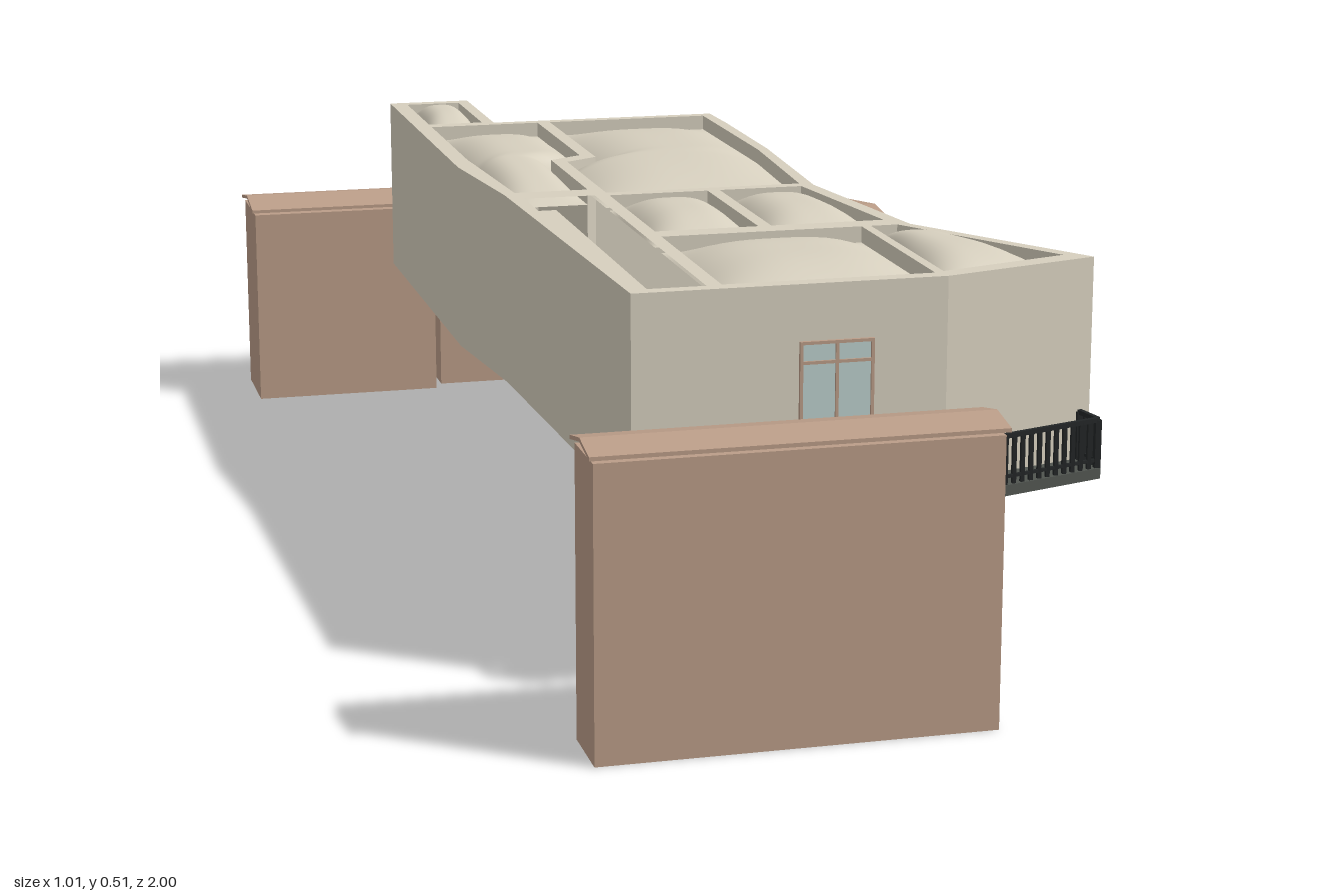
import * as THREE from 'three';
import { mergeGeometries } from 'three/addons/utils/BufferGeometryUtils.js';

const mat = (name, color, side = THREE.FrontSide) => {
  const m = new THREE.MeshStandardMaterial({ color, side });
  m.name = name;
  return m;
};

export function createModel() {
  const group = new THREE.Group();
  const wall = mat('pale plaster', 0xd6cfbe);
  const brown = mat('brown clay', 0xbb9d88);
  const glass = mat('pale glass', 0xbcd0cd);
  const slabGrey = mat('dark grey slab', 0x50544f);
  const black = mat('black iron', 0x222526);

  const add = (name, geo, material) => {
    const mesh = new THREE.Mesh(geo, material);
    mesh.name = name;
    group.add(mesh);
    return mesh;
  };
  // box given by its limits
  const box = (x0, x1, y0, y1, z0, z1) =>
    new THREE.BoxGeometry(x1 - x0, y1 - y0, z1 - z0)
      .translate((x0 + x1) / 2, (y0 + y1) / 2, (z0 + z1) / 2);
  // flat plan of [x, z] points raised from y0 to y1
  const toV2 = (pts) => pts.map(([x, z]) => new THREE.Vector2(x, -z));
  const slab = (pts, y0, y1, holes = []) => {
    const shape = new THREE.Shape(toV2(pts));
    shape.holes = holes.map((h) => new THREE.Path(toV2(h)));
    return new THREE.ExtrudeGeometry(shape, { depth: y1 - y0, bevelEnabled: false })
      .rotateX(-Math.PI / 2).translate(0, y0, 0);
  };
  // bar between two points
  const bar = (a, b, t) => {
    const A = new THREE.Vector3(...a), B = new THREE.Vector3(...b);
    const o = new THREE.Object3D();
    o.position.copy(A).add(B).multiplyScalar(0.5);
    o.lookAt(B);
    o.updateMatrix();
    return new THREE.BoxGeometry(t, t, A.distanceTo(B)).applyMatrix4(o.matrix);
  };
  // railing with uprights along a plan path
  const railing = (name, path, y0, y1) => {
    const parts = [];
    for (let i = 0; i + 1 < path.length; i++) {
      const [ax, az] = path[i], [bx, bz] = path[i + 1];
      parts.push(bar([ax, y1, az], [bx, y1, bz], 0.006));
      parts.push(bar([ax, y0 + 0.01, az], [bx, y0 + 0.01, bz], 0.004));
      const n = Math.max(1, Math.round(Math.hypot(bx - ax, bz - az) / 0.0135));
      for (let k = 0; k <= n; k++) {
        const x = ax + ((bx - ax) * k) / n, z = az + ((bz - az) * k) / n;
        const t = k === 0 || k === n ? 0.004 : 0.0026;
        parts.push(box(x - t, x + t, y0, y1, z - t, z + t));
      }
    }
    add(name, mergeGeometries(parts), black);
  };

  // rooms: west and east edges, each running from back to front
  const rooms = [
    { l: [[-0.26, -0.71], [-0.26, -0.51]], r: [[-0.175, -0.71], [-0.175, -0.51]] },
    { l: [[-0.26, -0.485], [-0.26, -0.185], [-0.258, -0.155], [-0.245, 0.085]],
      r: [[-0.09, -0.485], [-0.09, -0.185], [-0.14, -0.155], [-0.14, 0.085]] },
    { l: [[-0.07, -0.485], [-0.07, -0.165], [-0.12, -0.135], [-0.12, 0.115]],
      r: [[0.182, -0.485], [0.182, -0.165], [0.18, -0.135], [0.163, 0.115]] },
    { l: [[-0.12, 0.135], [-0.12, 0.395]], r: [[0.022, 0.135], [0.022, 0.395]] },
    { l: [[0.04, 0.135], [0.04, 0.395]], r: [[0.16, 0.135], [0.197, 0.395]] },
    { l: [[-0.12, 0.43], [-0.12, 0.728]], r: [[0.155, 0.43], [0.155, 0.728]] },
    { l: [[0.168, 0.43], [0.168, 0.722]], r: [[0.205, 0.43], [0.348, 0.668]] },
  ];
  const outline = (room) => [...room.l, ...[...room.r].reverse()];
  const stairwell = [[-0.24, 0.13], [-0.14, 0.13], [-0.14, 0.73], [-0.215, 0.73], [-0.215, 0.22], [-0.24, 0.22]];

  // walls of the raised building
  const plan = [
    [-0.285, -0.73], [-0.157, -0.73], [-0.157, -0.503], [0.198, -0.503], [0.2, -0.41], [0.198, -0.17],
    [0.18, 0.13], [0.223, 0.43], [0.382, 0.688], [0.165, 0.75], [-0.24, 0.75], [-0.262, 0.1], [-0.285, -0.13],
  ];
  add('walls', slab(plan, 0.235, 0.504, [...rooms.map(outline), stairwell]), wall);

  // domed roof panels and floors
  const pointOn = (line, t) => {
    const f = t * (line.length - 1), i = Math.min(Math.floor(f), line.length - 2), k = f - i;
    return [0, 1].map((c) => line[i][c] * (1 - k) + line[i + 1][c] * k);
  };
  const along = (room, v) => { // even steps by depth for stepped edges
    if (room.l.length === 2) return v;
    const z0 = room.l[0][1], z = z0 + v * (room.l.at(-1)[1] - z0);
    let i = 0;
    while (i < room.l.length - 2 && z > room.l[i + 1][1]) i++;
    return (i + (z - room.l[i][1]) / (room.l[i + 1][1] - room.l[i][1])) / (room.l.length - 1);
  };
  const dome = (t) => 1 - Math.abs(2 * t - 1) ** 3;
  rooms.forEach((room) => {
    const geo = new THREE.PlaneGeometry(1, 1, 16, 36).rotateX(-Math.PI / 2);
    const p = geo.attributes.position;
    for (let i = 0; i < p.count; i++) {
      const u = p.getX(i) + 0.5, v = p.getZ(i) + 0.5, s = Math.min(1, Math.max(0, along(room, v)));
      const a = pointOn(room.l, s), b = pointOn(room.r, s);
      p.setXYZ(i, a[0] + (b[0] - a[0]) * u, 0.482 + 0.032 * dome(u) * dome(v), a[1] + (b[1] - a[1]) * u);
    }
    geo.computeVertexNormals();
    add('domedRoofPanel', geo, wall);

    const pts = outline(room);
    const cx = pts.reduce((s, q) => s + q[0], 0) / pts.length, cz = pts.reduce((s, q) => s + q[1], 0) / pts.length;
    const wide = pts.map(([x, z]) => [x + Math.sign(x - cx) * 0.007, z + Math.sign(z - cz) * 0.007]);
    add('roomFloor', slab(wide, 0.228, 0.238), brown);
  });

  // landing and open stair
  add('landing', slab([[-0.24, 0.13], [-0.14, 0.13], [-0.14, 0.255], [-0.215, 0.255], [-0.215, 0.22], [-0.24, 0.22]], 0.229, 0.238), brown);
  const steps = 23, treads = [];
  for (let i = 0; i < steps; i++) {
    const z = 0.28 + (i * 0.385) / (steps - 1), y = 0.228 - (i * 0.22) / (steps - 1);
    treads.push(box(-0.214, -0.141, y - 0.006, y + 0.004, z - 0.01, z + 0.01));
  }
  add('stairTreads', mergeGeometries(treads), brown);

  // front balcony
  add('balconySlab', slab([[-0.205, 0.748], [0.165, 0.748], [0.367, 0.69], [0.378, 0.742], [0.17, 0.808], [-0.205, 0.808]], 0.226, 0.24), slabGrey);
  railing('balconyRailing', [[-0.2, 0.753], [-0.2, 0.803], [0.17, 0.803], [0.374, 0.738], [0.366, 0.695]], 0.24, 0.303);

  // front double door
  add('doorGlass', box(-0.025, 0.067, 0.24, 0.43, 0.748, 0.752), glass);
  const frame = [-0.025, 0.021, 0.067].map((x) => box(x - 0.002, x + 0.002, 0.24, 0.43, 0.748, 0.755));
  [0.242, 0.405, 0.43].forEach((y) => frame.push(box(-0.027, 0.069, y - 0.002, y + 0.002, 0.748, 0.755)));
  add('doorFrame', mergeGeometries(frame), brown);

  // small window on the back block
  add('backWindow', box(-0.235, -0.195, 0.32, 0.37, -0.734, -0.728), glass);
  add('backWindowFrame', mergeGeometries([
    box(-0.238, -0.192, 0.317, 0.321, -0.736, -0.728), box(-0.238, -0.192, 0.369, 0.373, -0.736, -0.728),
    box(-0.238, -0.234, 0.317, 0.373, -0.736, -0.728), box(-0.196, -0.192, 0.317, 0.373, -0.736, -0.728),
  ]), brown);

  // glazed garden room at the back
  add('terraceFloor', box(-0.157, 0.2, 0.228, 0.245, -0.728, -0.503), wall);
  add('gardenRoomGlass', box(-0.155, 0.182, 0.245, 0.415, -0.702, -0.504), glass);
  const mullions = [];
  for (let i = 0; i <= 6; i++) {
    const x = -0.153 + (i * 0.335) / 6;
    mullions.push(box(x - 0.0025, x + 0.0025, 0.245, 0.416, -0.706, -0.7));
  }
  for (let i = 0; i <= 3; i++) {
    const z = -0.702 + (i * 0.196) / 3;
    mullions.push(box(0.18, 0.186, 0.245, 0.416, z - 0.0025, z + 0.0025));
  }
  [0.33, 0.39, 0.415].forEach((y) => {
    mullions.push(box(-0.157, 0.186, y - 0.003, y + 0.003, -0.707, -0.7));
    mullions.push(box(0.18, 0.187, y - 0.003, y + 0.003, -0.706, -0.503));
  });
  add('gardenRoomFrame', mergeGeometries(mullions), brown);
  const tiles = [box(-0.155, 0.002, 0.414, 0.418, -0.708, -0.504)];
  for (let i = 0; i < 11; i++) {
    const x = -0.153 + i * 0.0142;
    tiles.push(box(x, x + 0.01, 0.417, 0.422, -0.71, -0.504));
  }
  add('gardenRoomTiles', mergeGeometries(tiles), brown);
  railing('terraceRailing', [[-0.152, -0.722], [0.194, -0.722], [0.194, -0.508]], 0.245, 0.3);

  // neighbouring houses: limits of the roof, body top, ridge height
  const houses = [
    [-0.35, 0.158, 0.9, 1.0, 0.366, 0.385],
    [0.295, 0.505, -0.738, -0.412, 0.297, 0.327],
    [0.14, 0.398, -0.97, -0.783, 0.346, 0.368],
    [-0.197, 0.11, -1.0, -0.817, 0.31, 0.332],
    [-0.51, -0.2, -0.934, -0.79, 0.315, 0.336],
  ];
  houses.forEach(([x0, x1, z0, z1, top, ridge]) => {
    const e = 0.005, zm = (z0 + z1) / 2, eave = top + 0.004, t = 0.005;
    add('houseBody', box(x0 + e, x1 - e, 0, top, z0 + 0.003, z1 - 0.003), brown);
    // folded roof sheet, drawn as a chevron across the ridge
    const chevron = new THREE.Shape([
      [-z1, eave], [-zm, ridge - t], [-z0, eave], [-z0, eave + t], [-zm, ridge], [-z1, eave + t],
    ].map((q) => new THREE.Vector2(...q)));
    add('houseRoof', new THREE.ExtrudeGeometry(chevron, { depth: x1 - x0, bevelEnabled: false })
      .rotateY(Math.PI / 2).translate(x0, 0, 0), brown);
  });

  return group;
}
